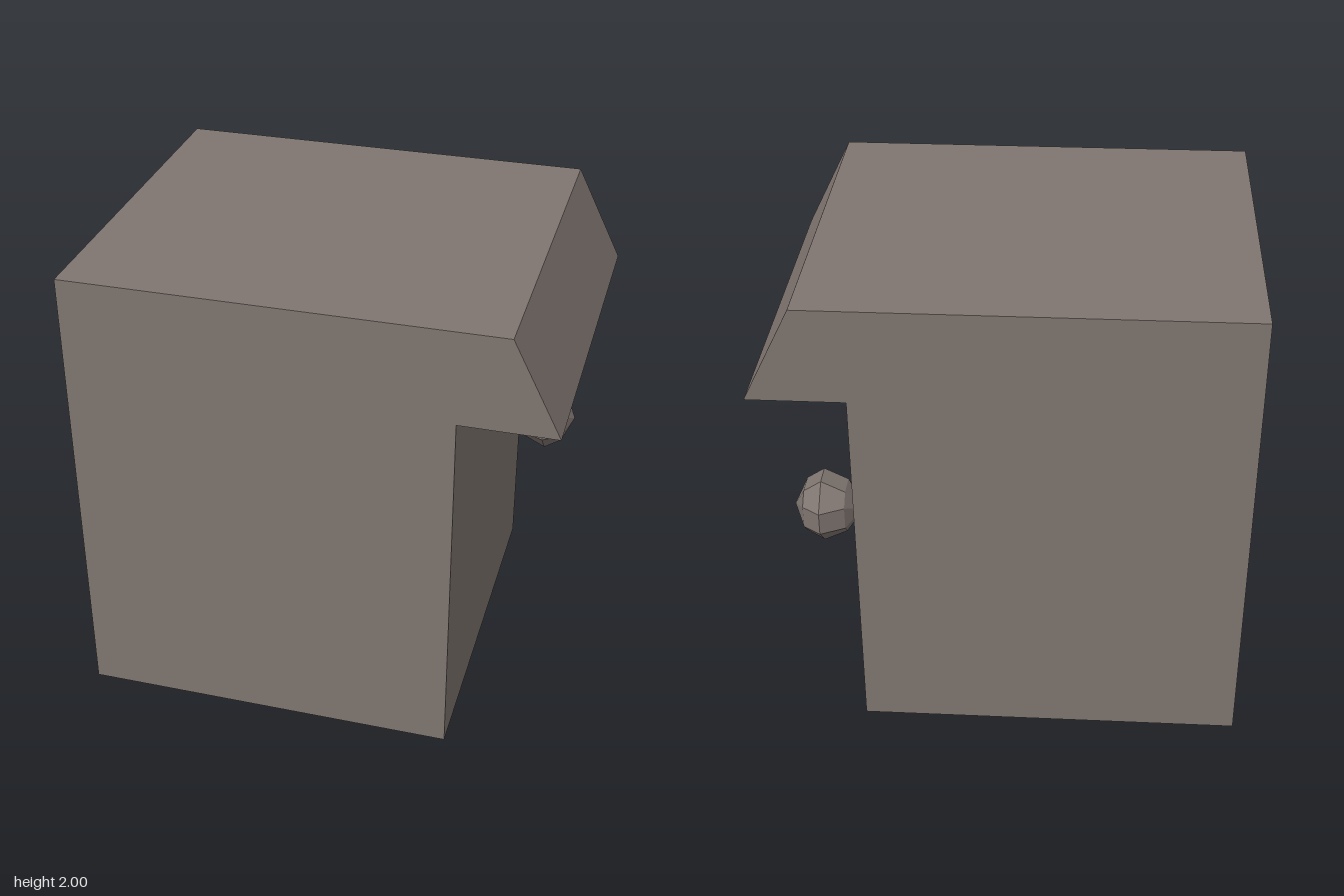
import * as THREE from 'three';

// Skin a run of eight-sided rings along x; each ring is [x, reach, half flat width]
function ringSolid(rings) {
  const points = rings.map(([x, r, f]) => [
    [r, -f], [r, f], [f, r], [-f, r], [-r, f], [-r, -f], [-f, -r], [f, -r],
  ].map(([y, z]) => [x, y, z]));
  const pos = [];
  for (let i = 0; i < points.length - 1; i++) {
    for (let j = 0; j < 8; j++) {
      const k = (j + 1) % 8;
      const a = points[i][j], b = points[i][k], c = points[i + 1][k], d = points[i + 1][j];
      pos.push(...a, ...b, ...c, ...a, ...c, ...d);
    }
  }
  const g = new THREE.BufferGeometry();
  g.setAttribute('position', new THREE.Float32BufferAttribute(pos, 3));
  g.computeVertexNormals();
  return g;
}

export function createModel() {
  const model = new THREE.Group();
  const stone = new THREE.MeshStandardMaterial({ color: 0x7f7570 });
  const paleGrey = new THREE.MeshStandardMaterial({ color: 0xcccccc });
  stone.name = 'stone';
  paleGrey.name = 'paleGrey';
  stone.flatShading = true;

  const add = (name, geometry, material, x = 0, y = 0, z = 0) => {
    const mesh = new THREE.Mesh(geometry, material);
    mesh.name = name;
    mesh.position.set(x, y, z);
    model.add(mesh);
    return mesh;
  };

  // Block with a sloped overhang along its +x side
  const profile = new THREE.Shape([
    [-1, 0.002], [0.6, 0.002], [0.6, 1.6], [1, 1.6], [0.8, 2], [-1, 2],
  ].map(([x, y]) => new THREE.Vector2(x, y)));
  add('bodyWithOverhang',
    new THREE.ExtrudeGeometry(profile, { depth: 1.6, bevelEnabled: false }),
    stone, 0, 0, -0.8);

  // Two pale panels set diagonally on the underside
  for (const s of [-1, 1]) {
    const panel = add('undersidePanel', new THREE.PlaneGeometry(0.8, 0.8),
      paleGrey, -0.2 + s * 0.4, 0, -s * 0.4);
    panel.rotation.x = Math.PI / 2;
  }

  // Knob and its short stem
  add('knobStem', ringSolid([[0.6, 0.05, 0.02], [0.64, 0.05, 0.02]]), stone, 0, 0.9, -0.5);
  add('knob', ringSolid([
    [0.635, 0, 0], [0.635, 0.05, 0.02], [0.675, 0.1, 0.05],
    [0.775, 0.15, 0.05], [0.85, 0.1, 0.05], [0.9, 0, 0],
  ]), stone, 0, 0.9, -0.5);

  return model;
}
